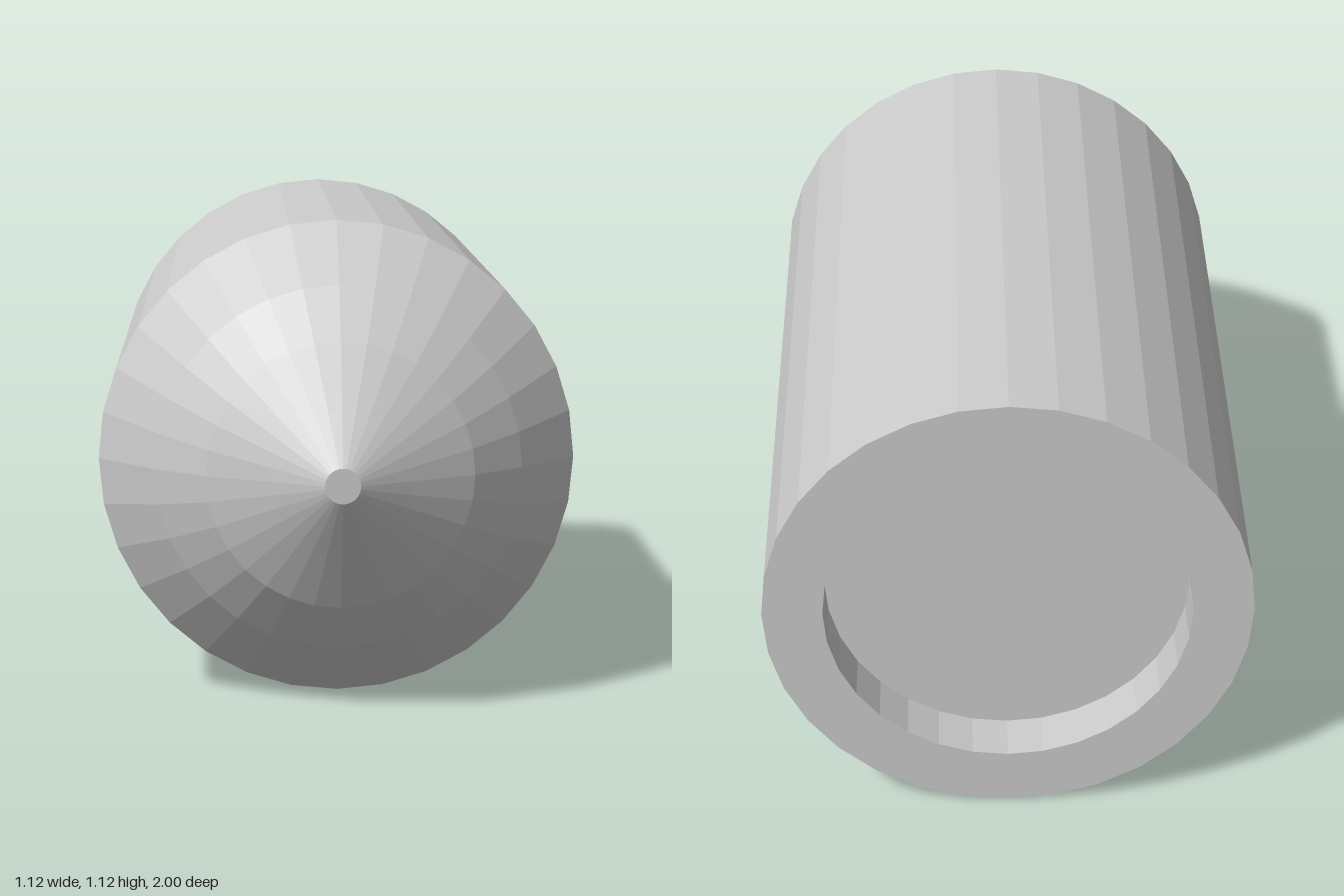
import * as THREE from 'three';

const SIDES = 32;
const RADIUS = 0.558;
const SHOULDER = 0.575; // z where the straight body meets the nose

export function createModel() {
  const model = new THREE.Group();
  const material = new THREE.MeshStandardMaterial({ color: 0xcccccc, flatShading: true });

  // Turns a [radius, z] profile around the long axis, listed from back to front
  const addTurned = (name, profile) => {
    const points = profile.map(([r, z]) => new THREE.Vector2(r, z));
    const geometry = new THREE.LatheGeometry(points, SIDES).rotateX(Math.PI / 2);
    const mesh = new THREE.Mesh(geometry, material);
    mesh.name = name;
    mesh.position.y = RADIUS;
    model.add(mesh);
  };

  // Round recess in the back end
  addTurned('baseRecess', [[0, -0.88], [0.42, -0.88], [0.42, -1]]);

  // Rim around the recess and the straight wall
  addTurned('body', [[0.42, -1], [RADIUS, -1], [RADIUS, SHOULDER]]);

  // Faceted pointed nose with a small flat tip
  addTurned('nose', [
    [RADIUS, SHOULDER], [0.422, 0.74], [0.305, 0.847], [0.16, 0.93], [0.04, 1], [0, 1],
  ]);

  return model;
}
